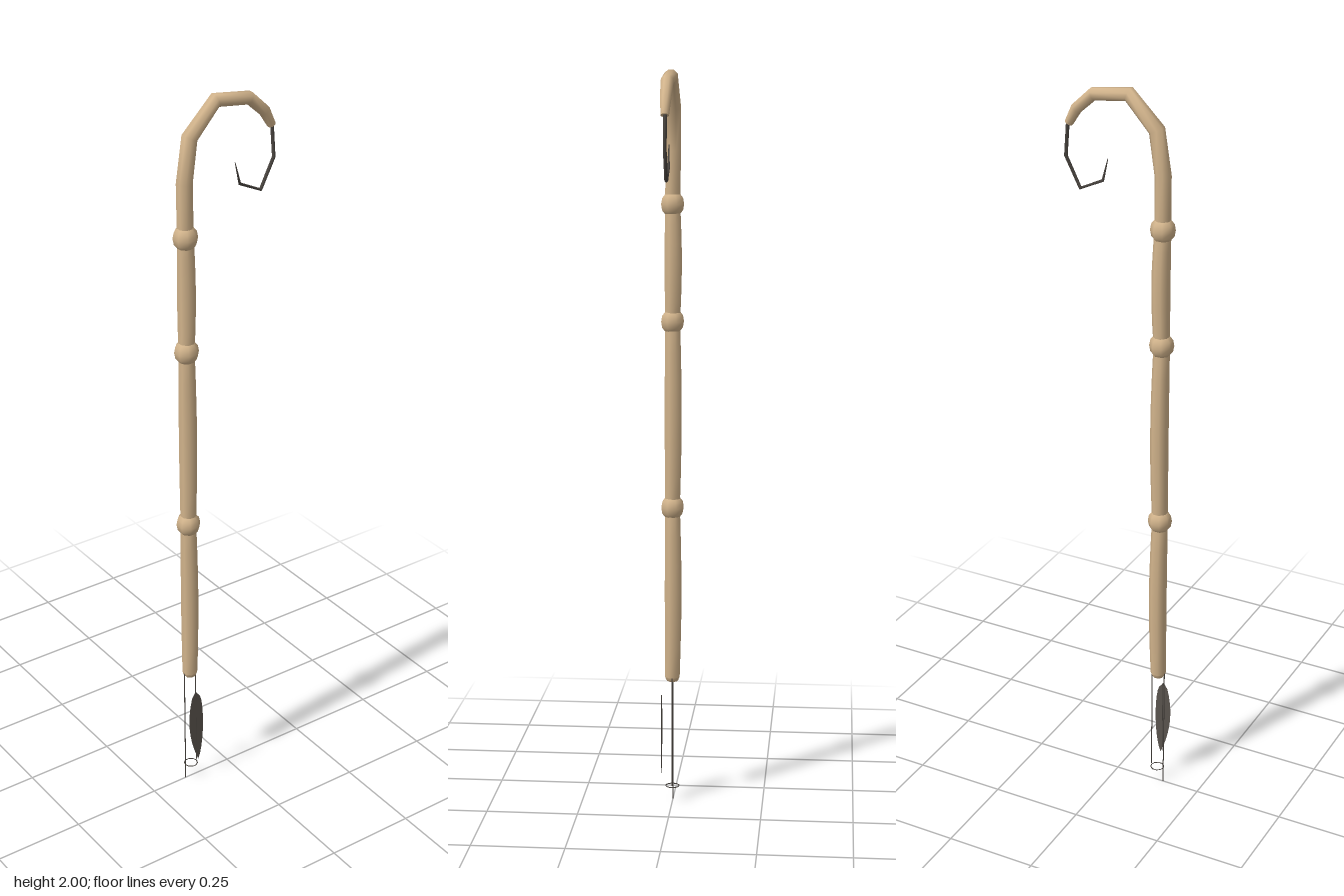
import * as THREE from 'three';

const X = -0.125; // axis of the shaft

// Sweep a ring of given radius along [x, y, z, r] points lying near the xy plane
function sweep(points, sides) {
  const pos = [], idx = [], n = points.length;
  const P = points.map(p => new THREE.Vector3(p[0], p[1], p[2]));
  const ring = i => {
    const a = P[Math.max(i - 1, 0)], b = P[Math.min(i + 1, n - 1)];
    const t = b.clone().sub(a).setZ(0).normalize();
    for (let k = 0; k < sides; k++) {
      const u = ((k + 0.5) / sides) * Math.PI * 2, c = Math.cos(u) * points[i][3];
      pos.push(P[i].x + t.y * c, P[i].y - t.x * c, P[i].z - Math.sin(u) * points[i][3]);
    }
  };
  for (let i = 0; i < n; i++) ring(i);
  for (let i = 0; i < n - 1; i++)
    for (let k = 0; k < sides; k++) {
      const a = i * sides + k, b = i * sides + (k + 1) % sides;
      idx.push(a, b, b + sides, a, b + sides, a + sides);
    }
  // End caps with their own vertices
  for (const [i, flip] of [[0, true], [n - 1, false]]) {
    const s = pos.length / 3;
    ring(i);
    for (let k = 1; k < sides - 1; k++)
      flip ? idx.push(s, s + k + 1, s + k) : idx.push(s, s + k, s + k + 1);
  }
  const g = new THREE.BufferGeometry();
  g.setAttribute('position', new THREE.Float32BufferAttribute(pos, 3));
  g.setIndex(idx);
  g.computeVertexNormals();
  return g;
}

export function createModel() {
  const group = new THREE.Group();
  const wood = new THREE.MeshStandardMaterial({ color: 0xd2b48c });
  const fibre = new THREE.MeshStandardMaterial({ color: 0x4a4540 });
  const vane = new THREE.MeshStandardMaterial({ color: 0x5a544e, side: THREE.DoubleSide });
  const add = (name, geometry, material) => {
    const m = new THREE.Mesh(geometry, material);
    m.name = name;
    group.add(m);
    return m;
  };

  // Shaft sections, each swelling a little between the knots
  const knots = [0.835, 1.34, 1.65];
  const ends = [0.36, ...knots];
  for (let i = 0; i < 3; i++) {
    const pts = [];
    for (let k = 0; k <= 6; k++) {
      const s = Math.sin((k / 6) * Math.PI);
      pts.push([X + 0.003 * s, THREE.MathUtils.lerp(ends[i], ends[i + 1], k / 6), -0.002 * s, 0.021 + 0.003 * s]);
    }
    add('shaftSection', sweep(pts, 8), wood);
  }

  // Bottom rim
  add('shaftTip', sweep([[X, 0.348, 0, 0.015], [X, 0.354, 0, 0.019], [X, 0.362, 0, 0.021]], 8), wood);

  // Rounded knots
  for (const y of knots) {
    const pts = [[-0.026, 0.021], [-0.016, 0.029], [0, 0.032], [0.016, 0.029], [0.026, 0.021]]
      .map(([dy, r]) => [X, y + dy, 0, r]);
    add('knot', sweep(pts, 8), wood);
  }

  // Crook, bent in straight stretches and tapering
  add('crook', sweep([
    [X, 1.65, 0, 0.021], [X, 1.79, -0.002, 0.021], [-0.108, 1.902, -0.003, 0.021],
    [-0.032, 1.981, -0.003, 0.019], [0.066, 1.968, -0.002, 0.017], [0.113, 1.925, -0.002, 0.015],
    [0.135, 1.885, -0.002, 0.011]], 8), wood);

  // Thin tendril curling inward from the crook
  add('tendril', sweep([
    [0.125, 1.915, -0.003, 0.006], [0.138, 1.88, -0.003, 0.005], [0.144, 1.80, -0.003, 0.005],
    [0.104, 1.722, -0.003, 0.005], [0.04, 1.752, -0.003, 0.004], [0.026, 1.81, -0.003, 0.001]], 5), fibre);

  // Two hanging threads and the small hoop joining them
  for (const [x, bottom] of [[-0.1435, 0], [-0.1065, 0.05]])
    add('thread', sweep([[x, bottom, 0, 0.0015], [x, 0.36, 0, 0.0015]], 4), fibre);
  const hoop = add('threadHoop', new THREE.TorusGeometry(0.0185, 0.0015, 4, 10), fibre);
  hoop.rotation.x = Math.PI / 2;
  hoop.position.set(X, 0.045, 0);

  // Flat feather in front of the threads
  const outline = new THREE.Shape();
  outline.moveTo(0.005, 0.075);
  outline.bezierCurveTo(0.026, 0.12, 0.026, 0.26, 0.012, 0.29);
  outline.lineTo(-0.002, 0.308);
  outline.lineTo(-0.014, 0.29);
  outline.bezierCurveTo(-0.032, 0.22, -0.026, 0.15, 0.005, 0.075);
  const feather = add('feather', new THREE.ShapeGeometry(outline, 10), vane);
  feather.position.set(X, 0, 0.03);
  add('featherQuill', sweep([[X, 0.08, 0.03, 0.0008], [X, 0.305, 0.03, 0.0015]], 4), fibre);

  return group;
}
